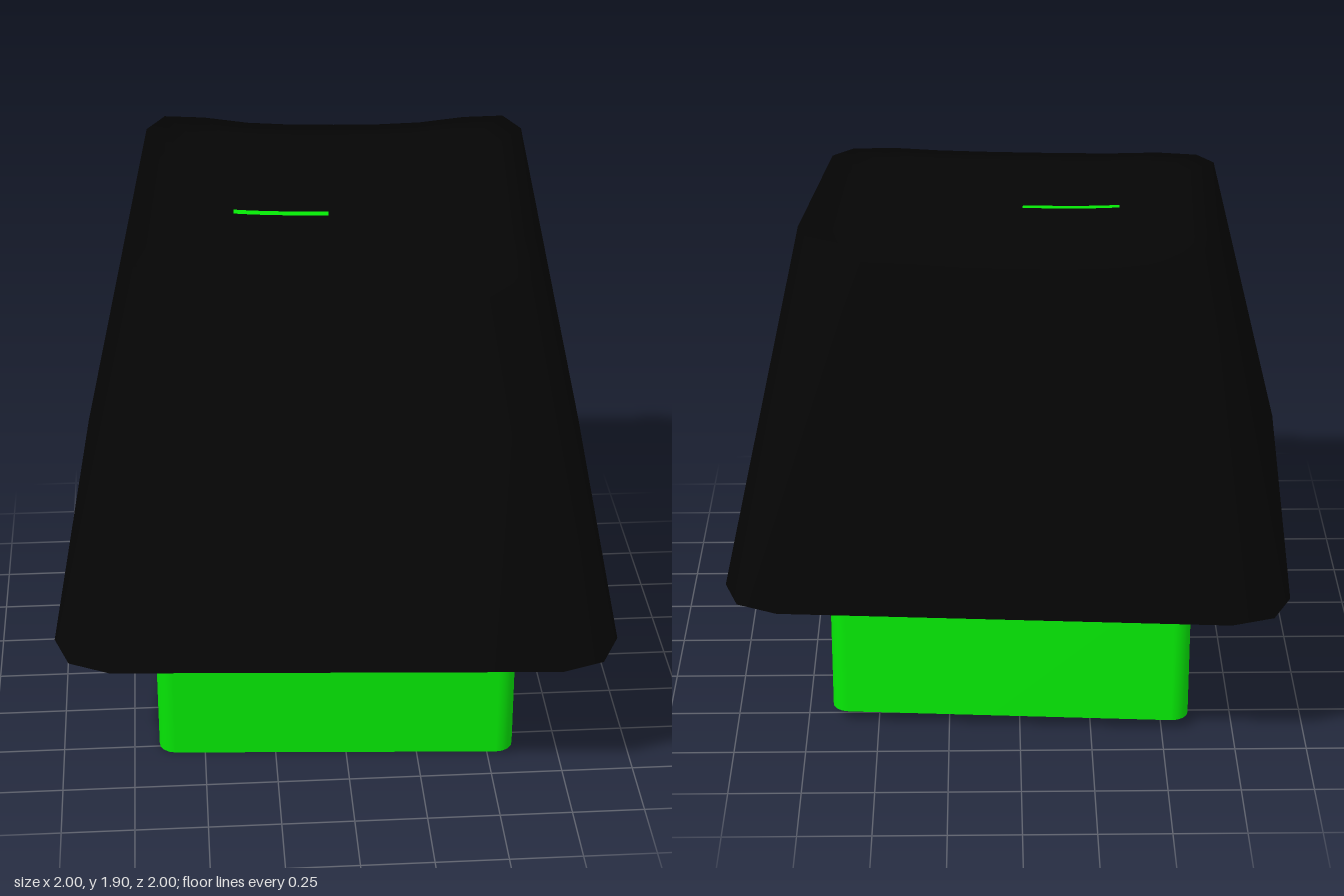
import * as THREE from 'three';

const TOP_HALF = 0.68, TOP_Z = -0.19;

// Height of the sloping top: a scoop along its depth, deepest at the back, with a slightly sunken middle
function topHeight(x, z) {
  const u = Math.abs(x) / TOP_HALF, v = Math.abs(z - TOP_Z) / TOP_HALF;
  const scoop = (0.047 - 0.044 * z) * (1 - u ** 3);
  const bowl = 0.01 * (1 - u ** 4) * (1 - v ** 4);
  return 1.258 - 0.08 * (z + 0.6) - scoop - bowl;
}

// Rounded-rectangle outline as [x, z] points, with subdivided straight sides
function outline(halfX, halfZ, radius, cornerSteps, sideSteps) {
  const pts = [];
  const ex = halfX - radius, ez = halfZ - radius;
  for (let q = 0; q < 4; q++) {
    const mid = (q + 0.5) * Math.PI / 2, end = (q + 1) * Math.PI / 2;
    const cx = ex * Math.sign(Math.cos(mid)), cz = ez * Math.sign(Math.sin(mid));
    for (let s = 0; s <= cornerSteps; s++) {
      const a = (q + s / cornerSteps) * Math.PI / 2;
      pts.push([cx + radius * Math.cos(a), cz + radius * Math.sin(a)]);
    }
    // side running on to the next corner
    const [x, z] = pts[pts.length - 1];
    const length = 2 * (q % 2 ? ez : ex);
    for (let s = 1; s < sideSteps; s++) {
      const d = length * s / sideSteps;
      pts.push([x - Math.sin(end) * d, z + Math.cos(end) * d]);
    }
  }
  return pts;
}

// Skin a list of rings of [x, y, z] points
function loft(rings) {
  const n = rings[0].length, index = [];
  for (let r = 0; r < rings.length - 1; r++) {
    for (let i = 0; i < n; i++) {
      const j = (i + 1) % n;
      const a = r * n + i, b = r * n + j, d = a + n, c = b + n;
      index.push(a, d, b, b, d, c);
    }
  }
  const geo = new THREE.BufferGeometry();
  geo.setAttribute('position', new THREE.Float32BufferAttribute(rings.flat(2), 3));
  geo.setIndex(index);
  geo.computeVertexNormals();
  return geo;
}

export function createModel() {
  const black = new THREE.MeshStandardMaterial({ color: 0x050505 });
  black.name = 'black';
  const green = new THREE.MeshStandardMaterial({ color: 0x05ea05, side: THREE.DoubleSide });
  green.name = 'green';

  const key = new THREE.Group();
  key.name = 'keycap';
  const add = (name, geo, mat) => {
    const mesh = new THREE.Mesh(geo, mat);
    mesh.name = name;
    key.add(mesh);
  };

  // Cap: tapered walls blending smoothly into the scooped top, and a flat underside
  const base = outline(0.956, 0.956, 0.2, 2, 6);
  const top = outline(TOP_HALF, TOP_HALF, 0.2, 2, 6);
  const baseRing = (s) => base.map(([x, z]) => [x * s, 0, z * s]);
  const topRing = (s) => top.map(([x, z]) => {
    const pz = z * s + TOP_Z;
    return [x * s, topHeight(x * s, pz), pz];
  });
  add('capShell', loft([baseRing(1), ...[1, 0.85, 0.7, 0.55, 0.4, 0.25, 0.12, 0].map(topRing)]), black);
  add('capUnderside', loft([baseRing(0), baseRing(1)]), black);

  // Hollow sleeve below the cap, with its ceiling
  const sleeve = outline(0.63, 0.595, 0.06, 4, 1);
  const sleeveRing = (s, y) => sleeve.map(([x, z]) => [x * s, y, z * s + 0.012]);
  add('sleeveWalls', loft([sleeveRing(1, -0.588), sleeveRing(1, 0)]), green);
  add('sleeveCeiling', loft([sleeveRing(0, -0.006), sleeveRing(1, -0.006)]), green);

  // Thin painted bar that follows the scooped top
  const bar = new THREE.PlaneGeometry(0.33, 0.03, 8, 1);
  bar.rotateX(-Math.PI / 2);
  bar.translate(-0.187, 0, -0.155);
  const p = bar.attributes.position;
  for (let i = 0; i < p.count; i++) p.setY(i, topHeight(p.getX(i), p.getZ(i)) + 0.006);
  bar.computeVertexNormals();
  add('topBar', bar, green);

  // Slight lean forward and turn
  key.rotation.order = 'YXZ';
  key.rotation.set(0.042, -0.0625, 0);
  key.position.y = 0.613;

  const model = new THREE.Group();
  model.name = 'model';
  model.add(key);
  return model;
}
